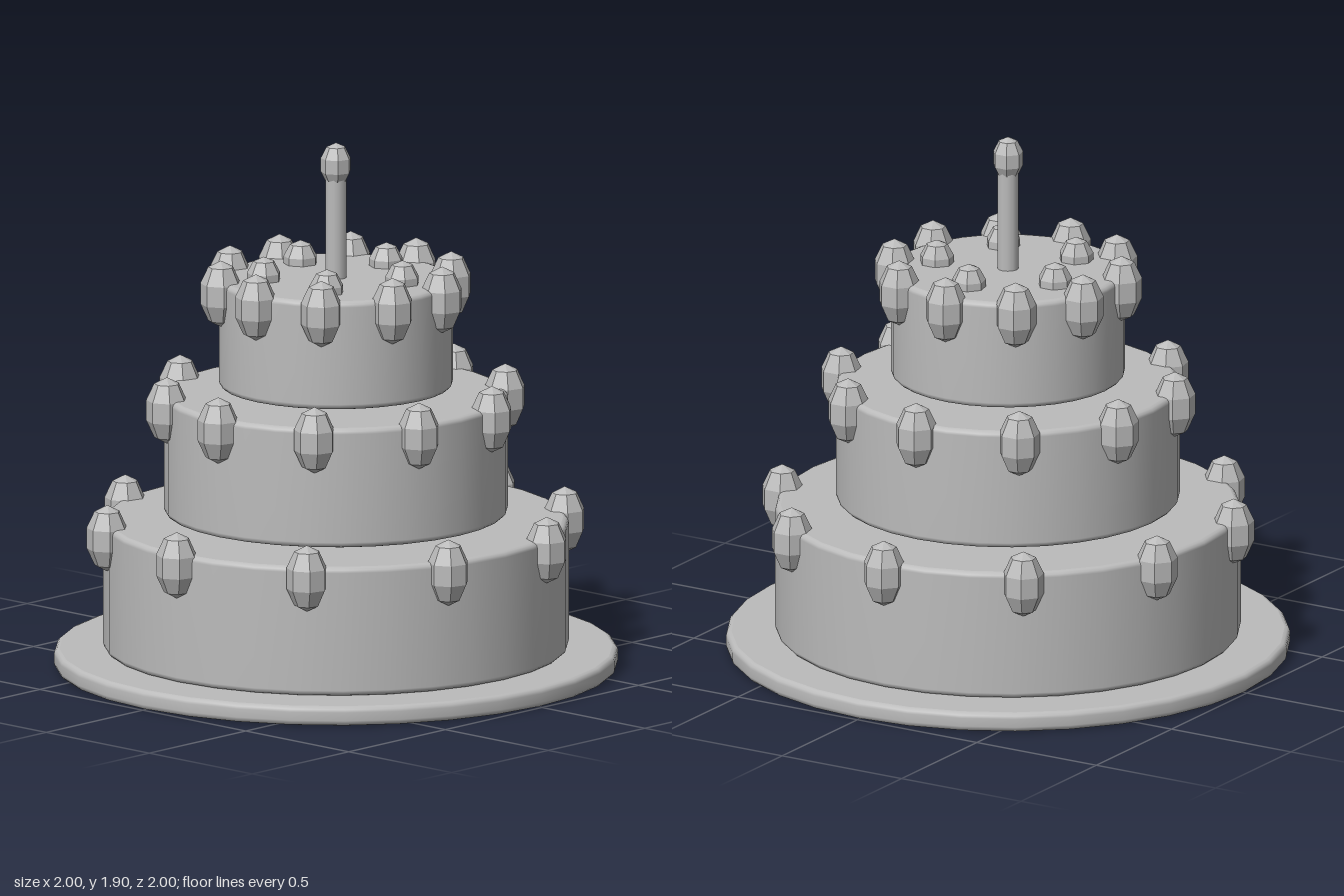
import * as THREE from 'three';

const icing = new THREE.MeshStandardMaterial({ color: 0xbbbbbb });
icing.name = 'plain grey';

// Round slab with softened rims; doubled points keep the flat caps crisp
function slab(name, radius, bottom, top, bevel) {
  const pts = [];
  const add = (x, y) => pts.push(new THREE.Vector2(x, y));
  add(0, bottom);
  add(radius - bevel, bottom);
  for (let i = 0; i <= 3; i++) {
    const a = (i / 3) * Math.PI / 2;
    add(radius - bevel + bevel * Math.sin(a), bottom + bevel - bevel * Math.cos(a));
  }
  for (let i = 0; i <= 3; i++) {
    const a = (i / 3) * Math.PI / 2;
    add(radius - bevel + bevel * Math.cos(a), top - bevel + bevel * Math.sin(a));
  }
  add(radius - bevel, top);
  add(0, top);
  const mesh = new THREE.Mesh(new THREE.LatheGeometry(pts, 32), icing);
  mesh.name = name;
  return mesh;
}

// Faceted, stretched low-poly bead
function beadGeometry(radius, halfHeight) {
  const g = new THREE.SphereGeometry(1, 7, 5).toNonIndexed();
  g.scale(radius, halfHeight, radius);
  g.computeVertexNormals();
  return g;
}

// Evenly spaced ring of beads
function beadRing(name, count, ringRadius, y, geometry) {
  const ring = new THREE.Group();
  ring.name = name;
  for (let i = 0; i < count; i++) {
    const a = (i / count) * Math.PI * 2;
    const bead = new THREE.Mesh(geometry, icing);
    bead.name = 'bead';
    bead.position.set(ringRadius * Math.cos(a), y, ringRadius * Math.sin(a));
    ring.add(bead);
  }
  return ring;
}

export function createModel() {
  const cake = new THREE.Group();
  cake.name = 'tieredCake';

  // Serving plate
  cake.add(slab('plate', 1, 0, 0.07, 0.02));

  // Three tiers, each with ten beads around its top rim
  const rimBead = beadGeometry(0.077, 0.12);
  const tiers = [
    ['bottom', 0.825, 0.07, 0.537, 0.4975],
    ['middle', 0.61, 0.56, 0.993, 0.952],
    ['top', 0.415, 1.018, 1.41, 1.367],
  ];
  for (const [name, radius, bottom, top, beadY] of tiers) {
    cake.add(slab(name + 'Tier', radius, bottom, top, 0.02));
    cake.add(beadRing(name + 'Beads', 10, radius, beadY, rimBead));
  }

  // Small beads on the top face
  cake.add(beadRing('toppings', 5, 0.26, 1.41, beadGeometry(0.064, 0.085)));

  // Candle and flame
  const candle = new THREE.Mesh(new THREE.CylinderGeometry(0.038, 0.038, 0.37, 12), icing);
  candle.name = 'candle';
  candle.position.y = 1.585;
  const flame = new THREE.Mesh(beadGeometry(0.057, 0.081), icing);
  flame.name = 'flame';
  flame.position.y = 1.817;
  cake.add(candle, flame);

  return cake;
}
